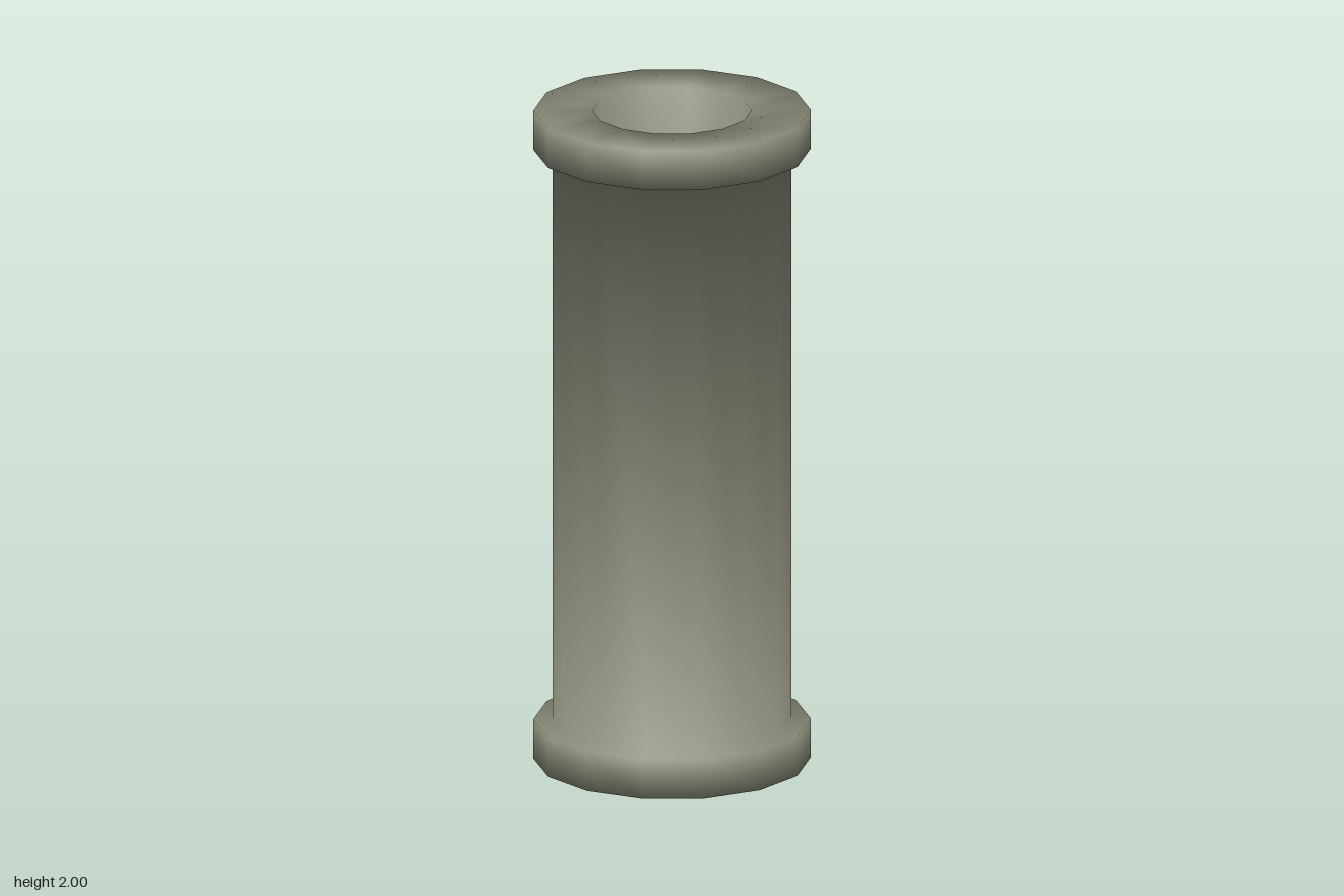
import * as THREE from 'three';

const SIDES = 14;

// Corners of the closed wall section: radius, height, and the way the smoothed normal leans (out, up)
const SECTION = [
  [0.235, 0.00, -1, -1], // bottom of the bore
  [0.41, 0.00, 1, -1],   // lower flange
  [0.41, 0.12, 1, 1],
  [0.35, 0.12, 1, 1],    // pipe wall
  [0.35, 1.88, 1, -1],
  [0.41, 1.88, 1, -1],   // upper flange
  [0.41, 2.00, 1, 1],
  [0.235, 2.00, -1, 1],  // top of the bore
  [0.235, 0.00, -1, -1], // back down the bore
];

export function createModel() {
  const group = new THREE.Group();
  group.name = 'flangedPipe';

  const points = SECTION.map(([r, y]) => new THREE.Vector2(r, y));
  const geometry = new THREE.LatheGeometry(points, SIDES);

  // Soft normals: every corner leans evenly between its two faces
  const normal = geometry.attributes.normal;
  for (let i = 0; i <= SIDES; i++) {
    const a = (i / SIDES) * Math.PI * 2;
    SECTION.forEach(([, , out, up], j) => {
      const n = new THREE.Vector3(out * Math.sin(a), up, out * Math.cos(a)).normalize();
      normal.setXYZ(i * SECTION.length + j, n.x, n.y, n.z);
    });
  }

  const material = new THREE.MeshStandardMaterial({ color: 0x8b8d7b });
  const pipe = new THREE.Mesh(geometry, material);
  pipe.name = 'pipeWithEndFlanges';
  group.add(pipe);
  return group;
}
